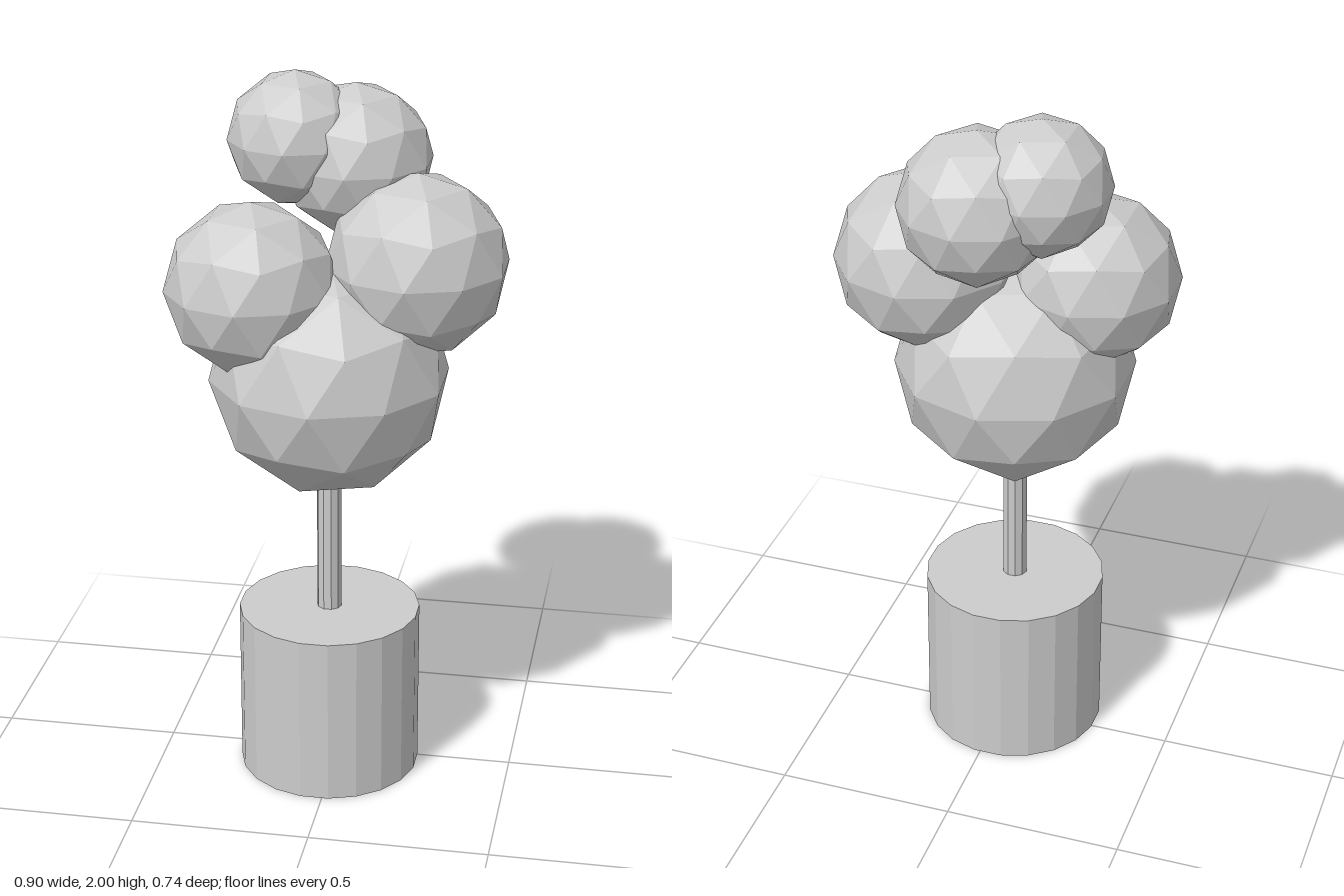
import * as THREE from 'three';

export function createModel() {
  const grey = new THREE.MeshStandardMaterial({ color: 0xcccccc, flatShading: true });
  grey.name = 'lightGrey';

  const group = new THREE.Group();
  group.name = 'pottedTree';

  const add = (name, geometry, x, y, z) => {
    const mesh = new THREE.Mesh(geometry, grey);
    mesh.name = name;
    mesh.position.set(x, y, z);
    group.add(mesh);
  };

  // Faceted upright column, turned half a side so a flat faces the front
  const column = (name, radius, bottom, top, sides) => add(
    name,
    new THREE.CylinderGeometry(radius, radius, top - bottom, sides, 1, false, Math.PI / sides),
    -0.022, (bottom + top) / 2, 0.036,
  );
  column('pot', 0.256, 0, 0.487, 20);
  column('trunk', 0.035, 0.48, 0.95, 10);

  // Foliage balls: 80-sided icospheres standing on a vertex
  const tilt = -Math.atan(2 / (1 + Math.sqrt(5)));
  const foliage = [
    ['lowerFoliage', 0.333, -0.022, 1.19, 0.033],
    ['leftFoliage', 0.253, 0.21, 1.505, -0.024],
    ['rightFoliage', 0.24, -0.222, 1.452, 0.1],
    ['backFoliage', 0.2125, 0.02, 1.75, -0.157],
    ['topFoliage', 0.187, -0.142, 1.813, -0.117],
  ];
  for (const [name, radius, x, y, z] of foliage) {
    add(name, new THREE.IcosahedronGeometry(radius, 1).rotateZ(tilt), x, y, z);
  }

  return group;
}
